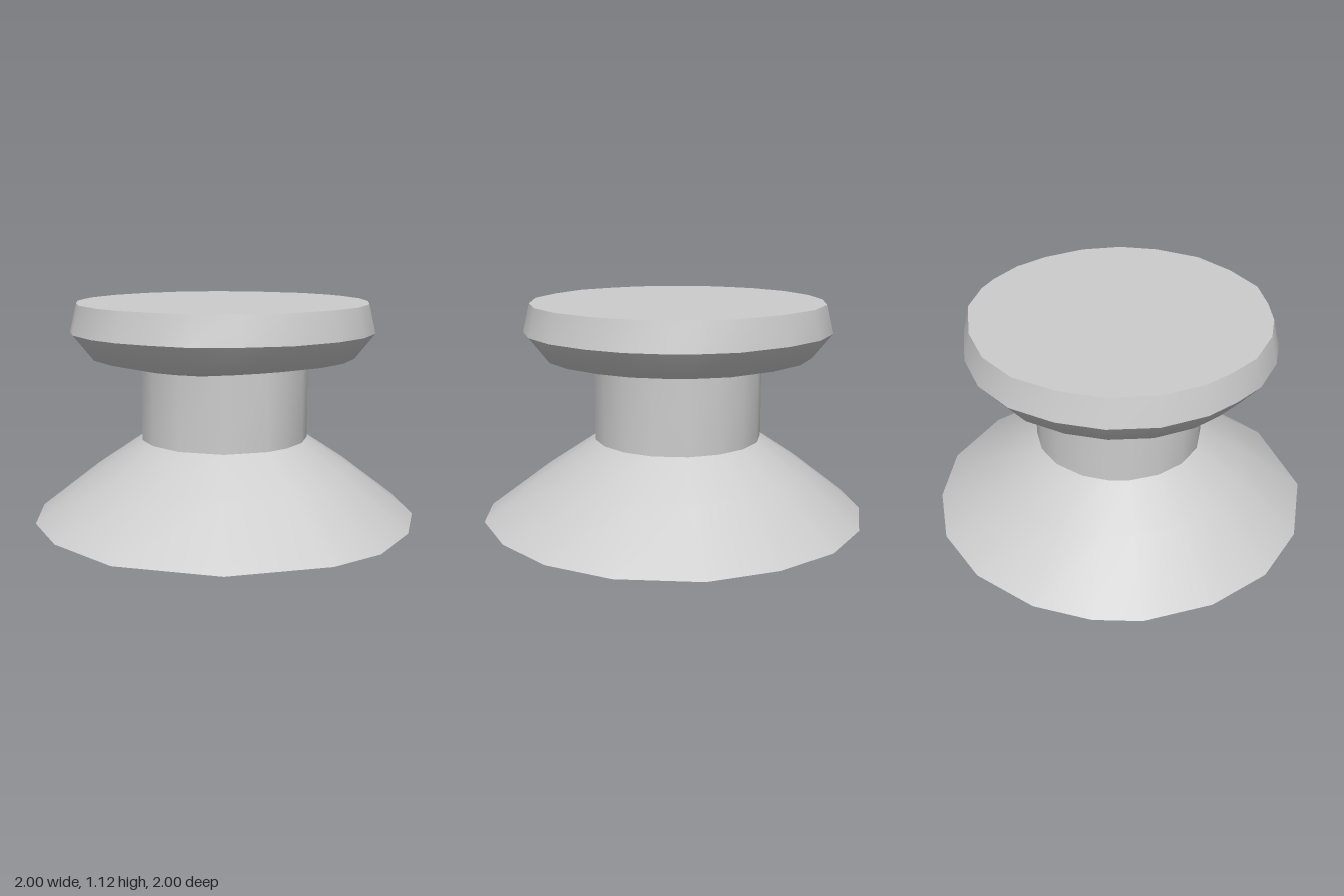
import * as THREE from 'three';

const grey = new THREE.MeshStandardMaterial({ color: 0xcccccc, side: THREE.DoubleSide });
grey.name = 'plain grey';

const CENTRE_Z = -0.015;

// Hand-cut outlines as [x, z], running from the back through +x to the front
const footOutline = [
  [0.07, -1], [0.42, -0.91], [0.71, -0.71], [0.90, -0.42], [1, -0.07], [0.94, 0.34],
  [0.76, 0.65], [0.49, 0.87], [0.16, 1], [-0.13, 0.99], [-0.60, 0.79], [-0.93, 0.38],
  [-1, -0.04], [-0.93, -0.39], [-0.74, -0.68], [-0.46, -0.90], [-0.23, -0.98],
];
const headOutline = [
  [0, -0.81], [0.24, -0.78], [0.45, -0.67], [0.62, -0.49], [0.76, -0.24], [0.79, -0.03],
  [0.78, 0.09], [0.73, 0.28], [0.63, 0.45], [0.47, 0.62], [0.28, 0.73], [0.07, 0.775],
  [-0.19, 0.76], [-0.41, 0.66], [-0.60, 0.52], [-0.70, 0.35], [-0.77, 0.19], [-0.80, 0.02],
  [-0.78, -0.21], [-0.71, -0.37], [-0.62, -0.52], [-0.45, -0.68], [-0.23, -0.78],
];

const angleOf = ([x, z]) => Math.atan2(z - CENTRE_Z, x);
const ring = (angles, y, radius) => angles.map((a) => {
  const r = typeof radius === 'function' ? radius(a) : radius;
  return [r * Math.cos(a), y, CENTRE_Z + r * Math.sin(a)];
});
const scaled = (outline, y, s) =>
  outline.map(([x, z]) => [x * s, y, CENTRE_Z + (z - CENTRE_Z) * s]);

// Smooth band through closed rings, bottom to top; skip(i) leaves out a side
function loft(name, rings, skip = () => false) {
  const n = rings[0].length;
  const index = [];
  for (let r = 0; r < rings.length - 1; r++) {
    for (let i = 0; i < n; i++) {
      if (skip(i)) continue;
      const a = r * n + i, b = r * n + (i + 1) % n;
      index.push(a, a + n, b, b, a + n, b + n);
    }
  }
  const geometry = new THREE.BufferGeometry();
  geometry.setAttribute('position', new THREE.Float32BufferAttribute(rings.flat(2), 3));
  geometry.setIndex(index);
  geometry.computeVertexNormals();
  const mesh = new THREE.Mesh(geometry, grey);
  mesh.name = name;
  return mesh;
}

export function createModel() {
  const model = new THREE.Group();
  model.name = 'knob';

  // Hollow flared foot, bulging slightly halfway up
  const footAngles = footOutline.map(angleOf);
  const foot = scaled(footOutline, 0, 1);
  const collar = ring(footAngles, 0.41, 0.44);
  const middle = foot.map((p, i) => {
    const q = collar[i];
    return [(p[0] * 0.4 + q[0] * 0.6) * 1.02, 0.25, (p[2] * 0.4 + q[2] * 0.6) * 1.02];
  });
  model.add(loft('foot', [foot, middle, collar]));

  // Open tube neck
  model.add(loft('neck', [ring(footAngles, 0.41, 0.44), ring(footAngles, 0.81, 0.44)]));

  // Head: flat collar with a small gap, rounded underside, tapered rim and flat top
  const head = new THREE.Group();
  head.name = 'head';
  const angles = headOutline.map(angleOf);
  const innerRadius = (a) =>
    0.53 - 0.08 * Math.pow(Math.max(0, Math.cos(a - Math.PI / 4)), 0.4);
  const inner = ring(angles, 0.81, innerRadius);
  const rim = scaled(headOutline, 0.98, 1);
  const top = scaled(headOutline, 1.125, 0.957);
  const inGap = (i) => angles[i] > 1.85 && angles[i] < 2.75;
  head.add(
    loft('headCollar', [ring(angles, 0.81, 0.435), inner], inGap),
    loft('headUnderside', [inner, scaled(headOutline, 0.85, 0.87), rim]),
    loft('headRim', [rim, top]),
  );
  const shape = new THREE.Shape(top.map(([x, , z]) => new THREE.Vector2(x, -z)));
  const cap = new THREE.Mesh(new THREE.ShapeGeometry(shape), grey);
  cap.name = 'headTop';
  cap.rotation.x = -Math.PI / 2;
  cap.position.y = 1.125;
  head.add(cap);
  model.add(head);

  return model;
}
